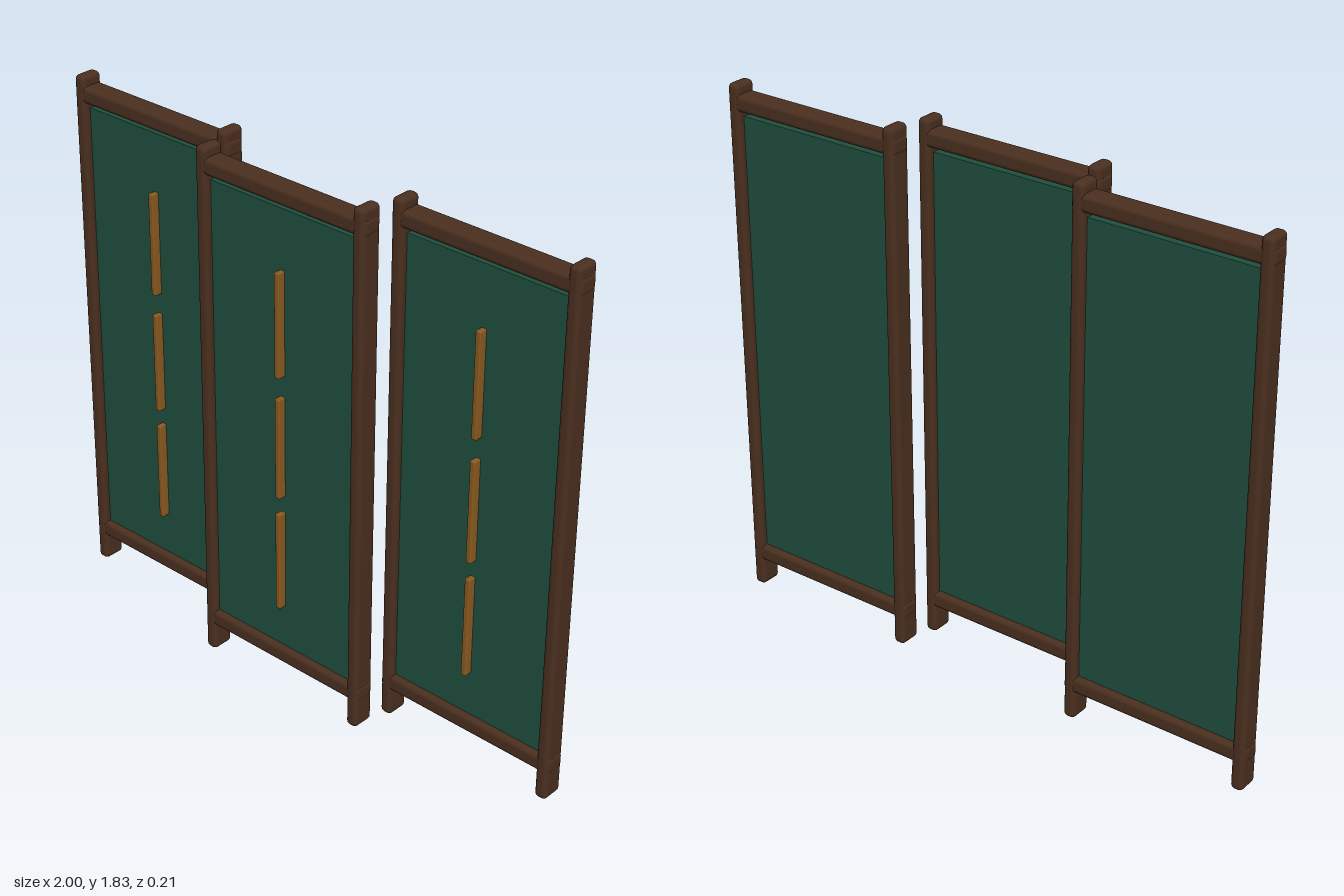
import * as THREE from 'three';
import { RoundedBoxGeometry } from 'three/addons/geometries/RoundedBoxGeometry.js';

export function createModel() {
  const wood = new THREE.MeshStandardMaterial({ color: 0x4a2f1f });
  wood.name = 'darkWood';
  const green = new THREE.MeshStandardMaterial({ color: 0x1f4f3e });
  green.name = 'greenPanel';
  const gold = new THREE.MeshStandardMaterial({ color: 0x8a5a20 });
  gold.name = 'goldenTrim';

  const add = (parent, name, geometry, material, x, y, z) => {
    const mesh = new THREE.Mesh(geometry, material);
    mesh.name = name;
    mesh.position.set(x, y, z);
    parent.add(mesh);
  };

  const postGeo = new RoundedBoxGeometry(0.043, 1.826, 0.08, 3, 0.016);
  const railGeo = new RoundedBoxGeometry(0.675, 0.058, 0.074, 3, 0.016);
  const panelGeo = new THREE.BoxGeometry(0.6, 1.58, 0.03);
  const slatGeo = new RoundedBoxGeometry(0.02, 0.358, 0.03, 2, 0.005);

  // One framed leaf: two posts, two rails, infill panel and three front slats
  function makeLeaf(name, x, z) {
    const leaf = new THREE.Group();
    leaf.name = name;
    leaf.position.set(x, 0, z);
    for (const side of [-1, 1]) {
      add(leaf, side > 0 ? 'leftPost' : 'rightPost', postGeo, wood, side * 0.313, 0.916, 0);
    }
    add(leaf, 'topRail', railGeo, wood, 0, 1.766, 0);
    add(leaf, 'bottomRail', railGeo, wood, 0, 0.13, 0);
    // The panel stops just short of the top rail
    add(leaf, 'panel', panelGeo, green, 0, 0.93, 0);
    for (const y of [0.494, 0.91, 1.34]) add(leaf, 'slat', slatGeo, gold, 0, y, 0.028);
    return leaf;
  }

  // Staggered leaves: the middle one stands forward
  const screen = new THREE.Group();
  screen.name = 'foldingScreen';
  screen.add(
    makeLeaf('rightLeaf', -0.6625, -0.063),
    makeLeaf('middleLeaf', 0, 0.063),
    makeLeaf('leftLeaf', 0.6625, -0.063)
  );
  return screen;
}
